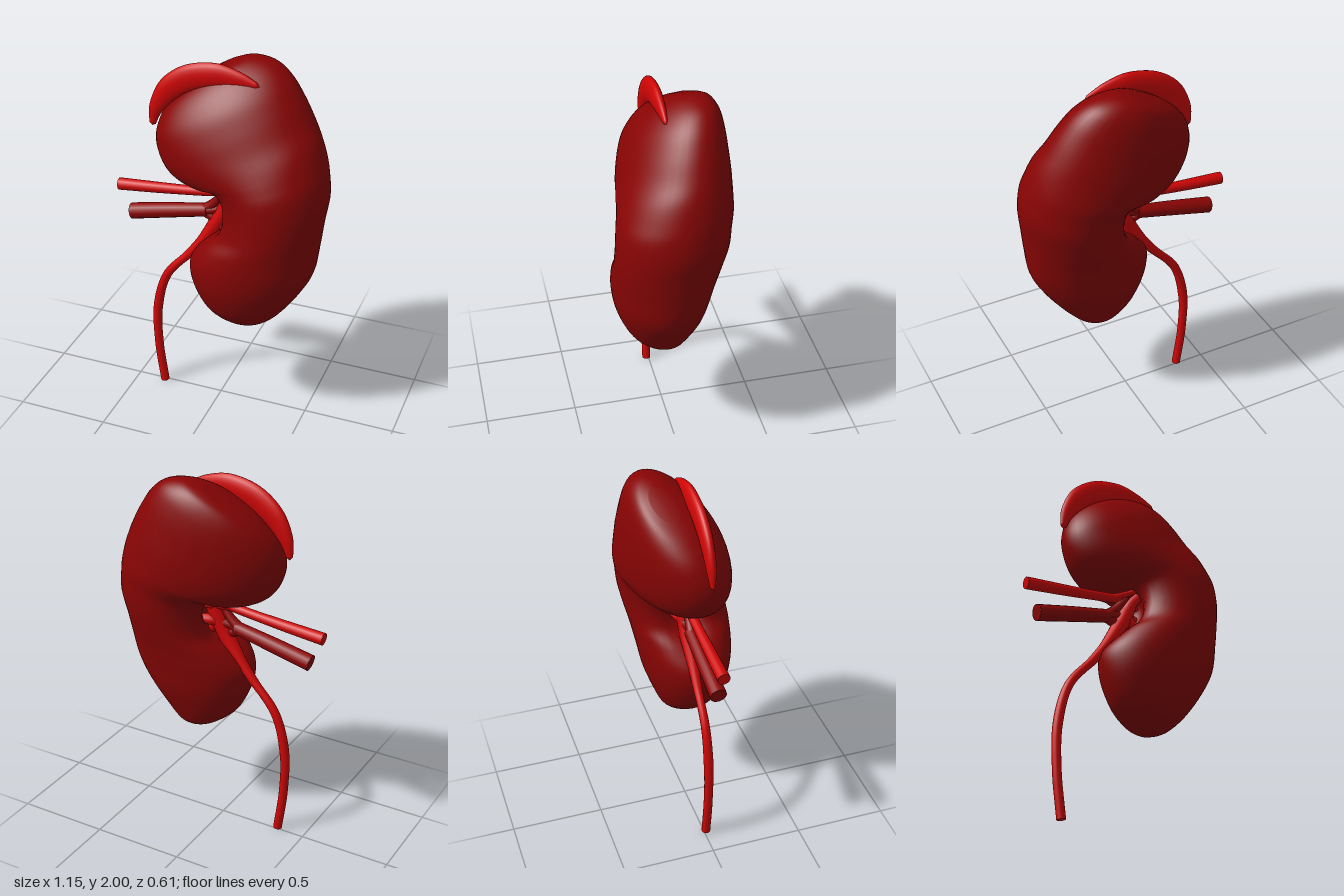
import * as THREE from 'three';
import { mergeGeometries } from 'three/addons/utils/BufferGeometryUtils.js';

const mat = (name, color) => new THREE.MeshStandardMaterial({ name, color });
const spline = pts => new THREE.CatmullRomCurve3(pts.map(p => new THREE.Vector3(...p)), false, 'centripetal');

// Smooth closed skin over oval sections that each run from an inner to an outer edge point.
// section: [innerX, innerY, innerZ, outerX, outerY, outerZ, halfDepth, hollow]
function loft(sections, startPole, endPole, rows, cols) {
  const n = sections.length;
  const at = (u, k) => {
    const i = Math.min(Math.floor(u), n - 2), f = u - i;
    const p = j => sections[Math.max(0, Math.min(n - 1, j))][k];
    const a = p(i - 1), b = p(i), c = p(i + 1), d = p(i + 2);
    return b + 0.5 * f * (c - a + f * (2 * a - 5 * b + 4 * c - d + f * (3 * (b - c) + d - a)));
  };
  const pos = [], idx = [];
  for (let r = 0; r <= rows; r++) {
    const u = r / rows * (n - 1);
    const [ix, iy, iz, ox, oy, oz, depth, hollow] = [0, 1, 2, 3, 4, 5, 6, 7].map(k => at(u, k));
    for (let c = 0; c < cols; c++) {
      const a = c / cols * Math.PI * 2, s = Math.sin(a);
      let t = (1 + Math.cos(a)) / 2;
      if (t < 0.5) t += hollow * Math.exp(-((s / 0.35) ** 2));
      pos.push(ix + (ox - ix) * t, iy + (oy - iy) * t, iz + (oz - iz) * t + depth * s);
    }
  }
  for (let r = 0; r < rows; r++) for (let c = 0; c < cols; c++) {
    const a = r * cols + c, b = r * cols + (c + 1) % cols;
    idx.push(a, a + cols, b, b, a + cols, b + cols);
  }
  const s = (rows + 1) * cols;
  pos.push(...startPole, ...endPole);
  for (let c = 0; c < cols; c++) {
    const d = (c + 1) % cols;
    idx.push(s, c, d, s + 1, rows * cols + d, rows * cols + c);
  }
  const g = new THREE.BufferGeometry();
  g.setAttribute('position', new THREE.Float32BufferAttribute(pos, 3));
  g.setIndex(idx);
  g.computeVertexNormals();
  return g;
}

// Tube with a radius that follows a list of values, closed by flat ends.
function vessel(points, radii, steps = 32, sides = 16) {
  const curve = spline(points), g = new THREE.TubeGeometry(curve, steps, 1, sides);
  const radius = t => {
    const u = t * (radii.length - 1), i = Math.min(Math.floor(u), radii.length - 2);
    return THREE.MathUtils.lerp(radii[i], radii[i + 1], u - i);
  };
  const p = g.attributes.position, v = new THREE.Vector3();
  for (let i = 0; i < p.count; i++) {
    const t = Math.floor(i / (sides + 1)) / steps, c = curve.getPointAt(t);
    v.fromBufferAttribute(p, i).sub(c).multiplyScalar(radius(t)).add(c);
    p.setXYZ(i, v.x, v.y, v.z);
  }
  const caps = [0, 1].map(t => {
    const c = curve.getPointAt(t), dir = curve.getTangentAt(t).multiplyScalar(t ? 1 : -1);
    const q = new THREE.Quaternion().setFromUnitVectors(new THREE.Vector3(0, 0, 1), dir);
    return new THREE.CircleGeometry(radius(t), sides).applyQuaternion(q).translate(c.x, c.y, c.z);
  });
  return mergeGeometries([g, ...caps]);
}

export function createModel() {
  const model = new THREE.Group();
  model.name = 'kidney';
  const organ = mat('dark red', 0x880404);
  const veinRed = mat('vein red', 0x8e0505);
  const bright = mat('bright red', 0xd00505);
  const add = (name, geometry, material) => {
    const m = new THREE.Mesh(geometry, material);
    m.name = name;
    model.add(m);
  };

  // Bean-shaped body, sections fanning around the hollow on the inner side
  add('kidneyBody', loft([
    [0.105, 0.546, 0.015, 0.205, 0.544, 0.015, 0.05, 0],
    [0.03, 0.582, 0.03, 0.275, 0.575, 0.02, 0.11, 0],
    [-0.06, 0.66, 0.05, 0.36, 0.66, 0.04, 0.17, 0],
    [-0.125, 0.8, 0.06, 0.46, 0.8, 0.04, 0.225, 0],
    [-0.135, 0.93, 0.06, 0.525, 0.93, 0.04, 0.25, 0],
    [-0.075, 1.04, 0.05, 0.547, 1.08, 0.03, 0.265, 0.06],
    [0, 1.12, 0.03, 0.56, 1.21, 0.02, 0.275, 0.15],
    [0.02, 1.22, 0.02, 0.575, 1.34, 0, 0.283, 0.2],
    [0, 1.31, 0.01, 0.565, 1.45, -0.01, 0.285, 0.15],
    [-0.06, 1.345, 0, 0.542, 1.54, -0.03, 0.285, 0.06],
    [-0.15, 1.335, 0, 0.505, 1.64, -0.05, 0.28, 0],
    [-0.26, 1.385, 0.01, 0.455, 1.73, -0.08, 0.268, 0],
    [-0.325, 1.48, 0.01, 0.395, 1.83, -0.1, 0.248, 0],
    [-0.345, 1.59, 0, 0.325, 1.92, -0.12, 0.22, 0],
    [-0.31, 1.71, -0.03, 0.24, 1.98, -0.14, 0.175, 0],
    [-0.23, 1.81, -0.07, 0.13, 2.0, -0.145, 0.12, 0],
    [-0.14, 1.88, -0.1, 0.04, 1.98, -0.14, 0.06, 0],
  ], [0.155, 0.538, 0.015], [-0.055, 1.935, -0.12], 80, 48), organ);

  // Flat crescent gland draped over the upper end
  add('adrenalGland', loft([
    [-0.385, 1.63, 0.02, -0.35, 1.62, 0.02, 0.012, 0],
    [-0.378, 1.74, 0.02, -0.315, 1.69, 0.02, 0.024, 0],
    [-0.315, 1.87, 0.02, -0.235, 1.775, 0.02, 0.03, 0],
    [-0.19, 1.965, 0.02, -0.13, 1.84, 0.02, 0.032, 0],
    [-0.03, 2.0, 0.02, -0.01, 1.872, 0.02, 0.03, 0],
    [0.1, 1.975, 0.02, 0.1, 1.885, 0.02, 0.022, 0],
    [0.195, 1.93, 0.02, 0.19, 1.893, 0.02, 0.012, 0],
  ], [-0.368, 1.61, 0.02], [0.21, 1.908, 0.02], 40, 20), bright);

  // Artery and its branches into the hollow
  add('artery', vessel([[-0.575, 1.228, 0.012], [-0.3, 1.253, 0.012], [-0.1, 1.275, 0.012], [0, 1.29, 0.01]],
    [0.033, 0.03, 0.026, 0.024]), bright);
  [[0.1, 1.36, 0.06], [0.12, 1.27, -0.02], [0.09, 1.36, -0.07]].forEach(([x, y, z], i) =>
    add('arteryBranch' + (i + 1),
      vessel([[-0.05, 1.282, 0.012], [x * 0.4, (y + 1.29) / 2, z * 0.6], [x, y, z]], [0.022, 0.017, 0.013], 14, 12), bright));

  // Vein and its branches
  add('vein', vessel([[-0.507, 1.076, 0.01], [-0.3, 1.122, 0.01], [-0.07, 1.17, 0.01]],
    [0.044, 0.041, 0.036]), veinRed);
  [[0.03, 1.3, 0.02], [0.06, 1.06, 0.04], [0.11, 1.2, -0.05]].forEach(([x, y, z], i) =>
    add('veinBranch' + (i + 1),
      vessel([[-0.1, 1.164, 0.01], [-0.04, (y + 1.17 * 2) / 3, 0.012], [x, y, z]], [0.03, 0.024, 0.017], 14, 12), veinRed));

  // Ureter, widening into a funnel inside the hollow
  add('ureter', vessel([[-0.34, 0.004, 0.012], [-0.37, 0.25, 0.012], [-0.37, 0.5, 0.012], [-0.31, 0.72, 0.012],
    [-0.17, 0.89, 0.012], [-0.08, 1.01, 0.012], [0, 1.14, 0.01], [0.06, 1.27, 0]],
    [0.024, 0.024, 0.024, 0.026, 0.024, 0.022, 0.028, 0.045, 0.04], 64), bright);
  [[0.12, 1.34, 0.04], [0.14, 1.2, -0.04], [0.12, 1.1, 0.03]].forEach(([x, y, z], i) =>
    add('pelvisBranch' + (i + 1), vessel([[0.02, 1.19, 0.01], [0.06, (y + 1.2) / 2, z / 2], [x, y, z]],
      [0.035, 0.03, 0.025], 12, 12), bright));

  return model;
}
